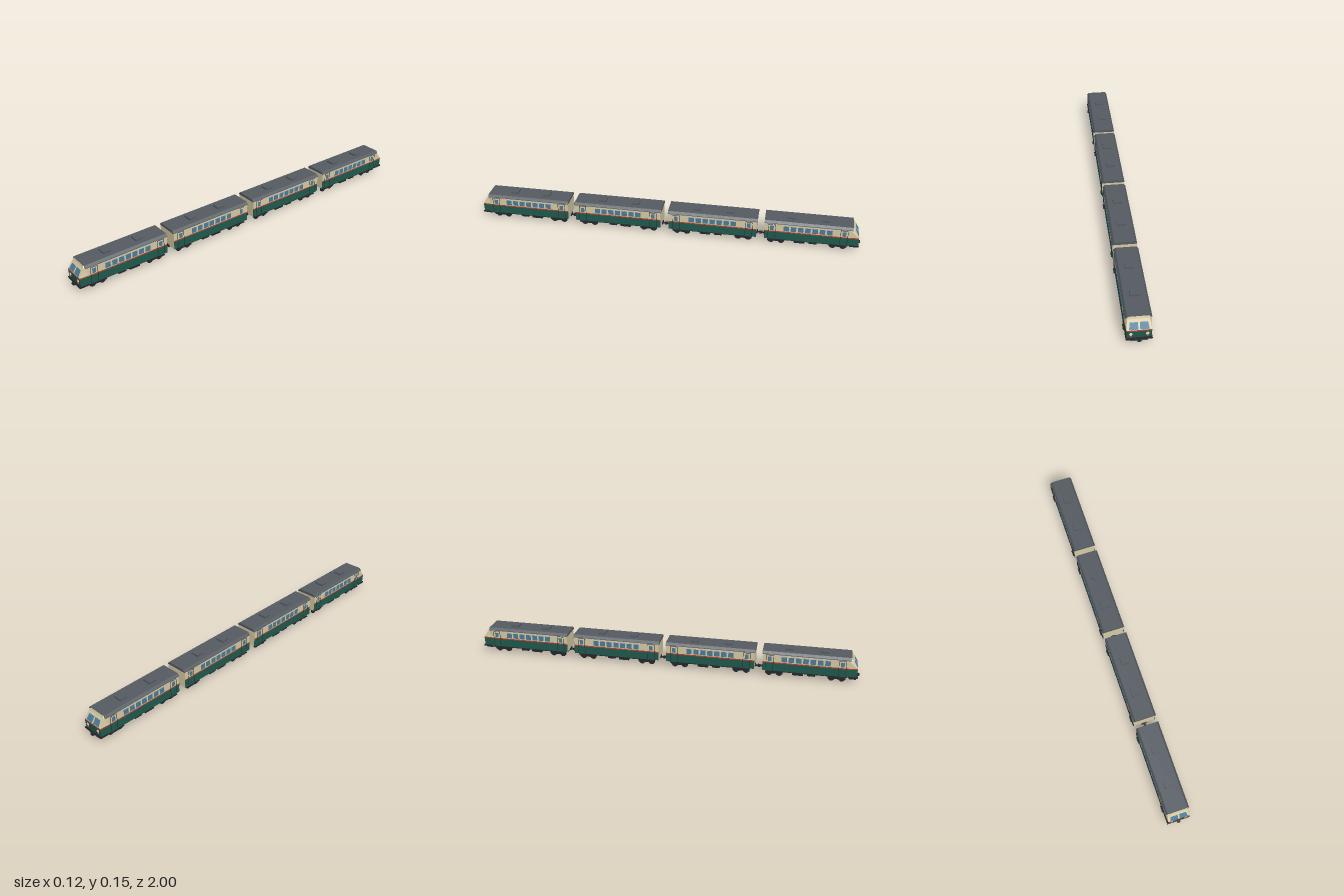
import * as THREE from 'three';

const mat = (name, color, side = THREE.FrontSide) => {
  const m = new THREE.MeshStandardMaterial({ color, side });
  m.name = name;
  return m;
};

export function createModel() {
  const M = {
    cream: mat('cream paint', 0xd6cba6),
    green: mat('green paint', 0x1f5a4d),
    red: mat('red stripe', 0xb8432c),
    roof: mat('roof grey', 0x555b62),
    dark: mat('underframe black', 0x27272c),
    glass: mat('window blue', 0x4c7c9c),
    lamp: mat('lamp white', 0xf2ead0),
  };

  const add = (parent, name, geo, material, x = 0, y = 0, z = 0) => {
    const mesh = new THREE.Mesh(geo, material);
    mesh.name = name;
    mesh.position.set(x, y, z);
    parent.add(mesh);
    return mesh;
  };
  // Box given by its limits in y and z, centred on x
  const box = (parent, name, material, x, w, y0, y1, z0, z1) =>
    add(parent, name, new THREE.BoxGeometry(w, y1 - y0, z1 - z0), material, x, (y0 + y1) / 2, (z0 + z1) / 2);

  // Prism along z from an x,y outline
  const prism = (parent, name, material, pts, z0, z1) => {
    const shape = new THREE.Shape(pts.map(([x, y]) => new THREE.Vector2(x, y)));
    const geo = new THREE.ExtrudeGeometry(shape, { depth: z1 - z0, bevelEnabled: false });
    return add(parent, name, geo, material, 0, 0, z0);
  };

  // Flat quads, four corners each
  const quads = (list) => {
    const pos = [];
    for (const [a, b, c, d] of list) pos.push(...a, ...b, ...c, ...a, ...c, ...d);
    const geo = new THREE.BufferGeometry();
    geo.setAttribute('position', new THREE.Float32BufferAttribute(pos, 3));
    geo.computeVertexNormals();
    return geo;
  };

  const addBogie = (car, z) => {
    const bogie = new THREE.Group();
    bogie.name = 'bogie';
    bogie.position.z = z;
    car.add(bogie);
    for (const s of [-1, 1]) {
      box(bogie, 'bogieSideFrame', M.dark, s * 0.037, 0.006, 0.014, 0.026, -0.044, 0.044);
      const axle = add(bogie, 'axle', new THREE.CylinderGeometry(0.004, 0.004, 0.06, 8), M.dark, 0, 0.017, s * 0.026);
      axle.rotation.z = Math.PI / 2;
      for (const t of [-1, 1]) {
        const wheel = add(bogie, 'wheel', new THREE.CylinderGeometry(0.017, 0.017, 0.008, 16), M.dark, t * 0.029, 0.017, s * 0.026);
        wheel.rotation.z = Math.PI / 2;
      }
    }
    box(bogie, 'bogieBolster', M.dark, 0, 0.07, 0.018, 0.032, -0.01, 0.01);
  };

  // Sloping driver's cab in coloured bands; rows are y, rear half width, front half width, front z
  const addCab = (car, zr) => {
    const rows = [
      [0.038, 0.058, 0.055, 0.985], [0.08, 0.058, 0.055, 0.988], [0.086, 0.058, 0.055, 0.987],
      [0.128, 0.058, 0.05, 0.961], [0.139, 0.048, 0.043, 0.957],
    ];
    const ring = ([y, wr, wf, zf]) => [[wr, y, zr], [wf, y, zf], [-wf, y, zf], [-wr, y, zr]];
    const bands = [['cabLower', M.green], ['cabStripe', M.red], ['cabUpper', M.cream], ['cabBrow', M.cream]];
    bands.forEach(([name, material], i) => {
      const lo = ring(rows[i]), hi = ring(rows[i + 1]);
      add(car, name, quads([0, 1, 2].map((k) => [lo[k], hi[k], hi[k + 1], lo[k + 1]])), material);
    });
    add(car, 'cabFloor', quads([ring(rows[0])]), M.dark);
    add(car, 'cabTop', quads([ring(rows[4]).reverse()]), M.roof);

    // Windscreens lie just off the sloping face
    const onFace = (x, y) => [x, y, 0.989 - ((y - 0.086) / 0.042) * 0.026];
    for (const [a0, b0, a1, b1] of [[0.004, 0.044, 0.004, 0.039], [-0.044, -0.004, -0.039, -0.004]]) {
      add(car, 'windscreen', quads([[onFace(a0, 0.089), onFace(b0, 0.089), onFace(b1, 0.117), onFace(a1, 0.117)]]), M.glass);
    }
    // Lamps
    for (const s of [-1, 1]) {
      const disc = (name, r, y, material) => {
        const lamp = add(car, name, new THREE.CylinderGeometry(r, r, 0.005, 16), material, s * 0.036, y, 0.987);
        lamp.rotation.x = Math.PI / 2;
      };
      disc('headlight', 0.0075, 0.065, M.lamp);
      disc('tailLight', 0.004, 0.052, M.red);
    }
    // Bumper, ploughed skirt and front coupler
    box(car, 'bumper', M.dark, 0, 0.116, 0.033, 0.041, 0.945, 0.991);
    prism(car, 'frontSkirt', M.roof, [[-0.036, 0.018], [0.036, 0.018], [0.05, 0.033], [-0.05, 0.033]], 0.95, 0.984);
    box(car, 'frontCoupler', M.dark, 0, 0.016, 0.028, 0.038, 0.985, 1);
  };

  const addCar = (name, z0, z1, c, doorAt, bogieAt, hasCab) => {
    const car = new THREE.Group();
    car.name = name;
    prism(car, 'bodyShell', M.cream, [[-0.0565, 0.038], [0.0565, 0.038], [0.0565, 0.129], [0.047, 0.138], [-0.047, 0.138], [-0.0565, 0.129]], z0, z1);
    prism(car, 'roof', M.roof, [[-0.059, 0.127], [0.059, 0.127], [0.059, 0.13], [0.0495, 0.141], [-0.0495, 0.141], [-0.059, 0.13]],
      z0 - 0.003, hasCab ? 0.955 : z1 + 0.003);
    for (const o of [-0.0875, 0.0875]) {
      box(car, 'roofVent', M.roof, 0, 0.044, 0.14, 0.15, c + o - 0.02, c + o + 0.02);
    }
    for (const s of [-1, 1]) {
      box(car, 'lowerSide', M.green, s * 0.0565, 0.003, 0.038, 0.08, z0, z1);
      box(car, 'sideStripe', M.red, s * 0.0567, 0.003, 0.08, 0.086, z0, z1);
      box(car, 'upperSide', M.cream, s * 0.0565, 0.003, 0.086, 0.128, z0, z1);
      for (let i = -3; i <= 3; i++) {
        box(car, 'sideWindow', M.glass, s * 0.0575, 0.003, 0.09, 0.117, c + i * 0.036 - 0.0135, c + i * 0.036 + 0.0135);
      }
      // Doors with seams, window and step
      for (const o of [-doorAt, doorAt]) {
        const z = c + o;
        for (const e of [-1, 1]) {
          box(car, 'doorSeam', M.dark, s * 0.0575, 0.003, 0.042, 0.123, z + e * 0.018 - 0.001, z + e * 0.018 + 0.001);
        }
        box(car, 'doorHead', M.dark, s * 0.0575, 0.003, 0.122, 0.124, z - 0.019, z + 0.019);
        box(car, 'doorWindow', M.glass, s * 0.0575, 0.003, 0.09, 0.115, z - 0.009, z + 0.009);
        box(car, 'doorStep', M.dark, s * 0.054, 0.017, 0.032, 0.036, z - 0.017, z + 0.017);
      }
    }
    // Underframe and equipment
    box(car, 'underframe', M.dark, 0, 0.1, 0.03, 0.039, z0 + 0.02, z1 - (hasCab ? 0 : 0.02));
    box(car, 'equipmentBox', M.dark, 0, 0.088, 0.016, 0.032, c - 0.065, c - 0.01);
    box(car, 'equipmentBox', M.dark, 0, 0.088, 0.018, 0.032, c + 0.01, c + 0.05);
    for (const o of [-bogieAt, bogieAt]) addBogie(car, c + o);
    if (hasCab) addCab(car, z1);
    return car;
  };

  // Half train, repeated turned about
  const model = new THREE.Group();
  model.name = 'train';
  for (const turn of [0, Math.PI]) {
    const half = new THREE.Group();
    half.name = turn ? 'rearHalf' : 'frontHalf';
    half.rotation.y = turn;
    half.add(addCar('cabCar', 0.5175, 0.94, 0.733, 0.18, 0.156, true));
    half.add(addCar('middleCar', 0.0205, 0.4765, 0.2485, 0.188, 0.16, false));
    model.add(half);
  }

  // Couplings between the cars
  for (const z of [-0.497, 0, 0.497]) {
    box(model, 'couplingBar', M.dark, 0, 0.007, 0.031, 0.037, z - 0.045, z + 0.045);
    box(model, 'couplingHead', M.dark, 0, 0.016, 0.029, 0.039, z - 0.007, z + 0.007);
    for (const s of [-1, 1]) {
      box(model, 'couplingPlate', M.dark, 0, 0.026, 0.03, 0.042, z + s * 0.019 - 0.003, z + s * 0.019 + 0.003);
    }
  }
  return model;
}
